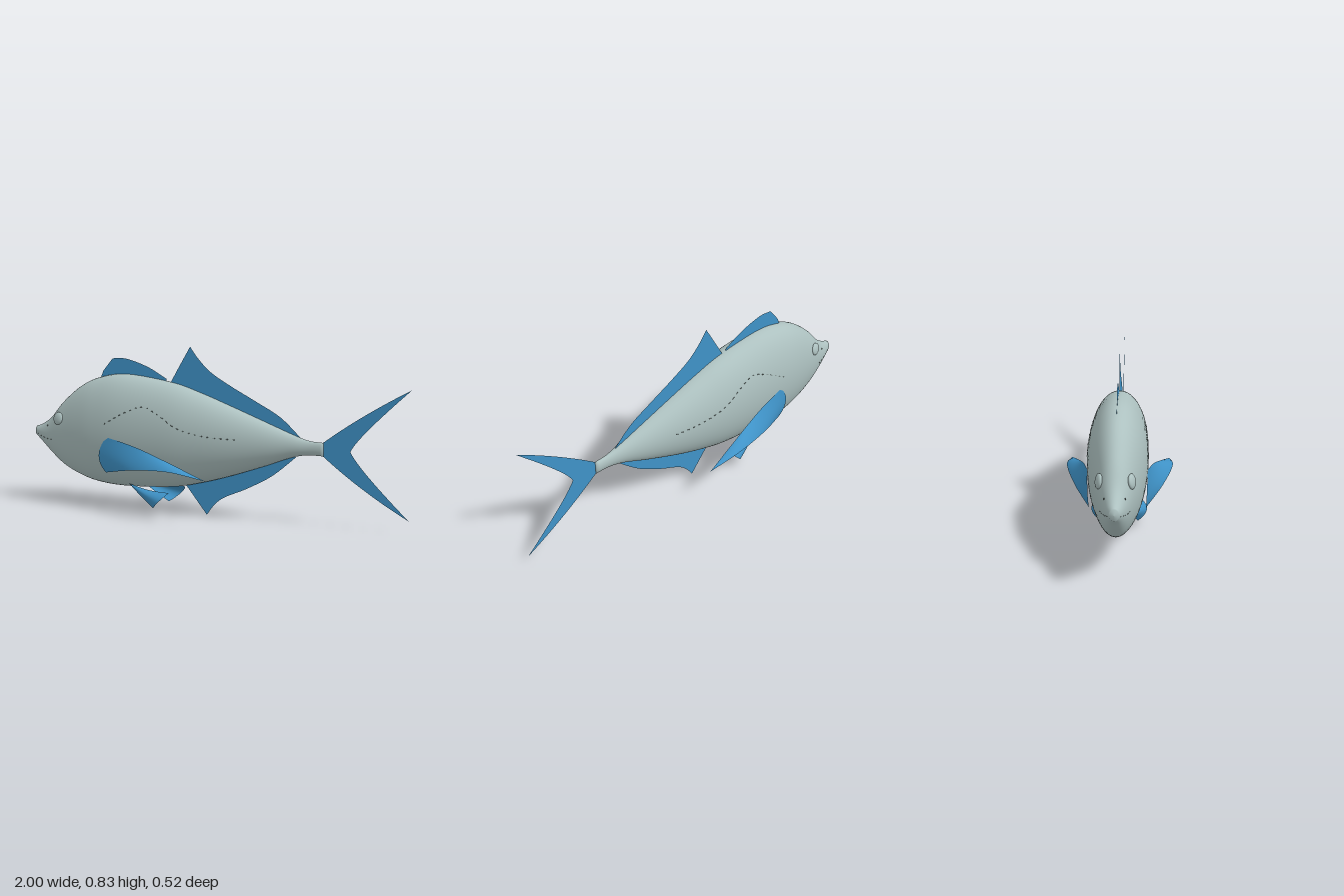
import * as THREE from 'three';

const bodyGrey = new THREE.MeshStandardMaterial({ color: 0xadc1c0, name: 'bodyGrey' });
const finBlue = new THREE.MeshStandardMaterial({ color: 0x3f93c8, name: 'finBlue', side: THREE.DoubleSide });
const lineGrey = new THREE.MeshStandardMaterial({ color: 0x66736f, name: 'lineGrey' });

// Body stations from snout to tail root: x, top, bottom, half width
const STATIONS = [
  [-1, 0.395, 0.345, 0.02], [-0.96, 0.41, 0.312, 0.036], [-0.9, 0.452, 0.257, 0.056],
  [-0.82, 0.54, 0.195, 0.08], [-0.71, 0.625, 0.147, 0.108], [-0.6, 0.67, 0.123, 0.128],
  [-0.45, 0.688, 0.115, 0.139], [-0.2, 0.655, 0.13, 0.137], [-0.04, 0.608, 0.163, 0.124],
  [0.12, 0.55, 0.21, 0.102], [0.3, 0.482, 0.273, 0.067], [0.43, 0.433, 0.322, 0.036],
  [0.51, 0.408, 0.338, 0.019], [0.585, 0.402, 0.338, 0.015],
];
const heightCurve = new THREE.CatmullRomCurve3(
  STATIONS.map(([x, t, b]) => new THREE.Vector3(x, t, b)), false, 'catmullrom', 0.5);
const widthCurve = new THREE.CatmullRomCurve3(
  STATIONS.map(([x, , , w]) => new THREE.Vector3(x, w, 0)), false, 'catmullrom', 0.5);

function section(u) {
  const p = heightCurve.getPoint(u);
  return { x: p.x, mid: (p.y + p.z) / 2, half: (p.y - p.z) / 2, width: widthCurve.getPoint(u).y };
}

// Half width of the body surface at a given x and y
function surfaceZ(x, y) {
  let lo = 0, hi = 1;
  for (let i = 0; i < 24; i++) {
    const m = (lo + hi) / 2;
    if (section(m).x < x) lo = m; else hi = m;
  }
  const s = section(lo);
  return s.width * Math.sqrt(Math.max(0, 1 - ((y - s.mid) / s.half) ** 2));
}

// Smooth elliptical loft, closed to a point at both ends
function bodyGeometry(rings = 72, sides = 48) {
  const pos = [], index = [];
  for (let i = -1; i <= rings + 1; i++) {
    const s = section(Math.min(Math.max(i / rings, 0), 1));
    const k = i < 0 || i > rings ? 0 : 1;
    for (let j = 0; j < sides; j++) {
      const a = (j / sides) * Math.PI * 2;
      pos.push(s.x + (i < 0 ? -0.004 : 0), s.mid + k * s.half * Math.cos(a), k * s.width * Math.sin(a));
    }
  }
  for (let i = 0; i < rings + 2; i++) {
    for (let j = 0; j < sides; j++) {
      const a = i * sides + j, b = i * sides + (j + 1) % sides;
      index.push(a, b, a + sides, b, b + sides, a + sides);
    }
  }
  const g = new THREE.BufferGeometry();
  g.setAttribute('position', new THREE.Float32BufferAttribute(pos, 3));
  g.setIndex(index);
  g.computeVertexNormals();
  return g;
}

// Curved fin surface spanned across three edge curves; side mirrors it in z
function loftFin(edges, side, nu = 24, nv = 10) {
  const curves = edges.map(e => new THREE.CatmullRomCurve3(e.map(p => new THREE.Vector3(...p))));
  const pos = [], index = [];
  for (let i = 0; i <= nu; i++) {
    const across = new THREE.QuadraticBezierCurve3();
    const [a, m, b] = curves.map(c => c.getPoint(i / nu));
    across.v0 = a;
    across.v1 = m.multiplyScalar(2).addScaledVector(a, -0.5).addScaledVector(b, -0.5);
    across.v2 = b;
    for (let j = 0; j <= nv; j++) {
      const p = across.getPoint(j / nv);
      pos.push(p.x, p.y, p.z * side);
    }
  }
  for (let i = 0; i < nu; i++) {
    for (let j = 0; j < nv; j++) {
      const a = i * (nv + 1) + j, c = a + nv + 1;
      if (side > 0) index.push(a, a + 1, c, a + 1, c + 1, c);
      else index.push(a, c, a + 1, a + 1, c, c + 1);
    }
  }
  const g = new THREE.BufferGeometry();
  g.setAttribute('position', new THREE.Float32BufferAttribute(pos, 3));
  g.setIndex(index);
  g.computeVertexNormals();
  return g;
}

// Flat fin on the centre plane: straight front edge, curved rear edge, base hidden in the body
function flatFin(front, rear, base) {
  const s = new THREE.Shape();
  s.moveTo(...front[0]);
  front.slice(1).forEach(p => s.lineTo(...p));
  s.splineThru(rear.map(p => new THREE.Vector2(...p)));
  base.forEach(p => s.lineTo(...p));
  return new THREE.ShapeGeometry(s, 16);
}

export function createModel() {
  const model = new THREE.Group();
  model.name = 'fish';
  const add = (name, geometry, material) => {
    const m = new THREE.Mesh(geometry, material);
    m.name = name;
    model.add(m);
    return m;
  };

  add('body', bodyGeometry(), bodyGrey);

  // Fins on the centre plane
  add('frontDorsalFin', flatFin([[-0.61, 0.665], [-0.595, 0.7], [-0.54, 0.765]],
    [[-0.46, 0.765], [-0.34, 0.728], [-0.235, 0.672]], [[-0.24, 0.62], [-0.45, 0.64], [-0.58, 0.63]]), finBlue);
  add('rearDorsalFin', flatFin([[-0.215, 0.65], [-0.165, 0.735], [-0.105, 0.835]],
    [[-0.06, 0.776], [0.01, 0.71], [0.12, 0.645], [0.25, 0.577], [0.37, 0.51], [0.47, 0.42]],
    [[0.44, 0.4], [0.12, 0.5], [-0.17, 0.6]]), finBlue);
  add('analFin', flatFin([[-0.13, 0.145], [-0.015, 0.002]],
    [[0.025, 0.055], [0.08, 0.098], [0.2, 0.152], [0.33, 0.225], [0.45, 0.325]],
    [[0.4, 0.35], [0.12, 0.26], [-0.1, 0.2]]), finBlue);

  const tail = new THREE.Shape();
  tail.moveTo(0.57, 0.4);
  tail.lineTo(0.585, 0.404);
  tail.quadraticCurveTo(0.77, 0.545, 0.995, 0.667);
  tail.quadraticCurveTo(0.745, 0.435, 0.715, 0.368);
  tail.quadraticCurveTo(0.745, 0.3, 0.995, 0.066);
  tail.quadraticCurveTo(0.77, 0.185, 0.585, 0.336);
  tail.lineTo(0.57, 0.34);
  add('tailFin', new THREE.ShapeGeometry(tail, 16), finBlue);

  for (const side of [1, -1]) {
    const label = side > 0 ? 'left' : 'right';

    // Paired fins
    add(label + 'PectoralFin', loftFin([
      [[-0.505, 0.38, 0.135], [-0.335, 0.347, 0.162], [-0.15, 0.295, 0.198], [0.085, 0.222, 0.245]],
      [[-0.553, 0.285, 0.132], [-0.34, 0.285, 0.188], [-0.12, 0.275, 0.234], [0.085, 0.222, 0.245]],
      [[-0.515, 0.2, 0.128], [-0.33, 0.236, 0.205], [-0.1, 0.253, 0.258], [0.085, 0.222, 0.245]],
    ], side), finBlue);
    add(label + 'PelvicFin', loftFin([
      [[-0.42, 0.139, 0.06], [-0.3, 0.12, 0.085], [-0.18, 0.115, 0.095]],
      [[-0.42, 0.139, 0.06], [-0.32, 0.1, 0.102], [-0.22, 0.072, 0.134]],
      [[-0.42, 0.139, 0.06], [-0.34, 0.078, 0.076], [-0.27, 0.03, 0.09]],
    ], side), finBlue);

    // Eye, flattened against the cheek
    const eye = add(label + 'Eye', new THREE.SphereGeometry(0.033, 24, 16), bodyGrey);
    eye.scale.set(1, 1, 0.4);
    eye.position.set(-0.828, 0.45, side * (surfaceZ(-0.828, 0.45) + 0.002));
    eye.rotation.set(-side * 0.2, -side * 0.3, 0);

    // Nostril
    const nostril = add(label + 'Nostril', new THREE.SphereGeometry(0.004, 8, 6), lineGrey);
    nostril.position.set(-0.91, 0.405, side * surfaceZ(-0.91, 0.405));

    // Dashed lines following the skin
    const dashes = (name, points, count) => {
      const path = new THREE.CatmullRomCurve3(points.map(([x, y]) => new THREE.Vector3(x, y, 0)));
      for (let i = 0; i < count; i++) {
        const pts = [0, 0.2, 0.4].map(d => {
          const p = path.getPointAt((i + d) / count);
          return p.setZ(side * surfaceZ(p.x, p.y));
        });
        add(label + name, new THREE.TubeGeometry(new THREE.CatmullRomCurve3(pts), 2, 0.0018, 5), lineGrey);
      }
    };
    dashes('LateralLine', [[-0.52, 0.445], [-0.4, 0.51], [-0.31, 0.54], [-0.23, 0.51],
      [-0.12, 0.445], [0.02, 0.412], [0.19, 0.402]], 24);
    dashes('Mouth', [[-0.985, 0.358], [-0.93, 0.342], [-0.86, 0.333]], 5);
  }
  return model;
}
